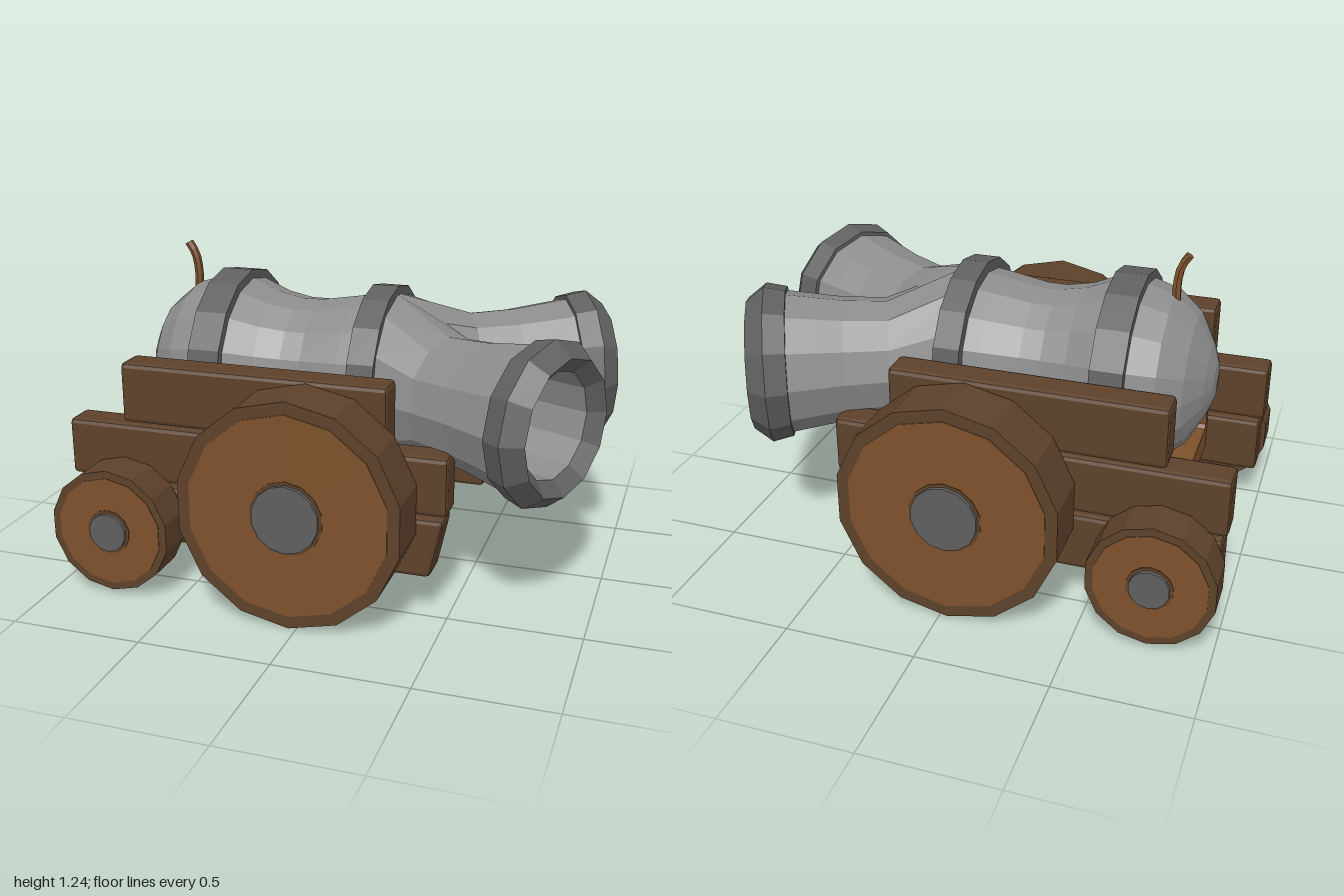
import * as THREE from 'three';
import { RoundedBoxGeometry } from 'three/addons/geometries/RoundedBoxGeometry.js';

const mat = (name, color) => Object.assign(new THREE.MeshStandardMaterial({ color, flatShading: true }), { name });

export function createModel() {
  const iron = mat('light iron', 0x8c8c8c);
  const darkIron = mat('dark iron', 0x5f5f5f);
  const darkWood = mat('dark wood', 0x5d412a);
  const wood = mat('warm wood', 0x7d512b);
  const model = new THREE.Group();
  const AXIS = 0.75;

  const add = (name, geo, material, x = 0, y = 0, z = 0, parent = model) => {
    const mesh = new THREE.Mesh(geo, material);
    mesh.name = name;
    mesh.position.set(x, y, z);
    parent.add(mesh);
    return mesh;
  };
  // Lathe lying along +x, points given as [x, radius]
  const turned = (pts, sides) =>
    new THREE.LatheGeometry(pts.map(([x, r]) => new THREE.Vector2(r, x)), sides).rotateZ(-Math.PI / 2);
  const disc = (r, depth, sides) => new THREE.CylinderGeometry(r, r, depth, sides).rotateX(Math.PI / 2);

  // Barrel body with rounded breech
  const cannon = new THREE.Group();
  cannon.name = 'cannon';
  cannon.position.y = AXIS;
  model.add(cannon);
  add('barrel', turned([[-0.85, 0], [-0.845, 0.07], [-0.82, 0.14], [-0.76, 0.25], [-0.67, 0.325], [-0.57, 0.355],
    [-0.44, 0.355], [-0.33, 0.31], [-0.23, 0.29], [-0.15, 0.29], [0, 0.315], [0.15, 0.335]], 16), iron, 0, 0, 0, cannon);

  // Reinforcing bands
  const band = (x0, x1, r) => turned([[x0, 0.3], [x0, r], [x1, r], [x1, 0.3]], 16);
  add('rearBand', band(-0.565, -0.44, 0.39), darkIron, 0, 0, 0, cannon);
  add('frontBand', band(0.06, 0.163, 0.365), darkIron, 0, 0, 0, cannon);

  // Twin branches: the first ring stays square to the barrel, the rest swing outwards
  const spread = 0.433;
  for (const s of [-1, 1]) {
    const branch = turned([[0.14, 0.342], [0.45, 0.232], [0.62, 0.243], [0.74, 0.262], [0.84, 0.278]], 12);
    const p = branch.attributes.position;
    const v = new THREE.Vector3(), up = new THREE.Vector3(0, 1, 0);
    for (let i = 0; i < p.count; i++) {
      v.fromBufferAttribute(p, i);
      if (v.x > 0.2) v.applyAxisAngle(up, s * spread);
      p.setXYZ(i, v.x, v.y, v.z);
    }
    branch.computeVertexNormals();
    add('branch', branch, iron, 0, 0, 0, cannon);
    const muzzle = add('muzzle', turned([[0.83, 0.26], [0.83, 0.292], [0.91, 0.31], [0.98, 0.255], [0.93, 0.2]], 12),
      darkIron, 0, 0, 0, cannon);
    const bore = add('bore', turned([[0.93, 0.2], [0.5, 0.19], [0.45, 0]], 12), iron, 0, 0, 0, cannon);
    muzzle.rotation.y = bore.rotation.y = s * spread;
  }

  // Curved fuse
  const fusePath = new THREE.CatmullRomCurve3([[-0.675, 1.04], [-0.673, 1.12], [-0.685, 1.19], [-0.712, 1.235]]
    .map(([x, y]) => new THREE.Vector3(x, y, 0)));
  add('fuse', new THREE.TubeGeometry(fusePath, 6, 0.017, 6), wood);
  add('fuseTip', new THREE.CircleGeometry(0.017, 6).rotateX(-Math.PI / 2).rotateZ(0.55), wood, -0.712, 1.235, 0);

  // Cradle tray under the barrel
  const tray = new THREE.Shape([[-0.395, 0.245], [0.395, 0.245], [0.395, 0.45], [0.36, 0.45], [0.36, 0.365], [0.345, 0.35],
    [-0.345, 0.35], [-0.36, 0.365], [-0.36, 0.45], [-0.395, 0.45]].map(([x, y]) => new THREE.Vector2(x, y)));
  add('cradleTray', new THREE.ExtrudeGeometry(tray, { depth: 1.04, bevelEnabled: false }).rotateY(Math.PI / 2),
    wood, -0.77, 0, 0);

  // Side beams, bevelled; the lower one is cut back at its front toe
  const beam = (x0, x1, y0, y1, toe = 0) => {
    const h = y1 - y0;
    const g = new RoundedBoxGeometry(x1 - x0, h, 0.13, 1, 0.018);
    const p = g.attributes.position;
    for (let i = 0; i < p.count; i++)
      if (p.getX(i) > 0) p.setX(i, p.getX(i) - toe * Math.max(0, 0.5 - p.getY(i) / h));
    g.computeVertexNormals();
    return g.translate((x0 + x1) / 2, (y0 + y1) / 2, 0);
  };
  // Wheel facing outwards along s
  const wheel = (name, x, y, r, depth, face, hub, s) => {
    const g = new THREE.Group();
    g.name = name;
    g.position.set(x, y, s * 0.53);
    g.scale.x = 0.985;
    model.add(g);
    add('tyre', disc(r, depth, 14), darkWood, 0, 0, s * depth / 2, g);
    add('wheelFace', disc(face, 0.006, 14), wood, 0, 0, s * depth, g);
    add('hubRing', disc(hub + 0.012, 0.009, 14), darkWood, 0, 0, s * (depth + 0.002), g);
    add('hub', disc(hub, 0.04, 14), darkIron, 0, 0, s * depth, g);
  };
  for (const s of [-1, 1]) {
    add('lowerBeam', beam(-0.985, 0.485, 0.163, 0.393, 0.05), darkWood, 0, 0, s * 0.46);
    add('middleBeam', beam(-1, 0.495, 0.405, 0.63), darkWood, 0, 0, s * 0.46);
    add('upperBeam', beam(-0.77, 0.27, 0.638, 0.872), darkWood, 0, 0, s * 0.46);
    wheel('largeWheel', -0.03, 0.432, 0.432, 0.215, 0.385, 0.128, s);
    wheel('smallWheel', -0.766, 0.257, 0.243, 0.157, 0.213, 0.075, s);
  }
  return model;
}
